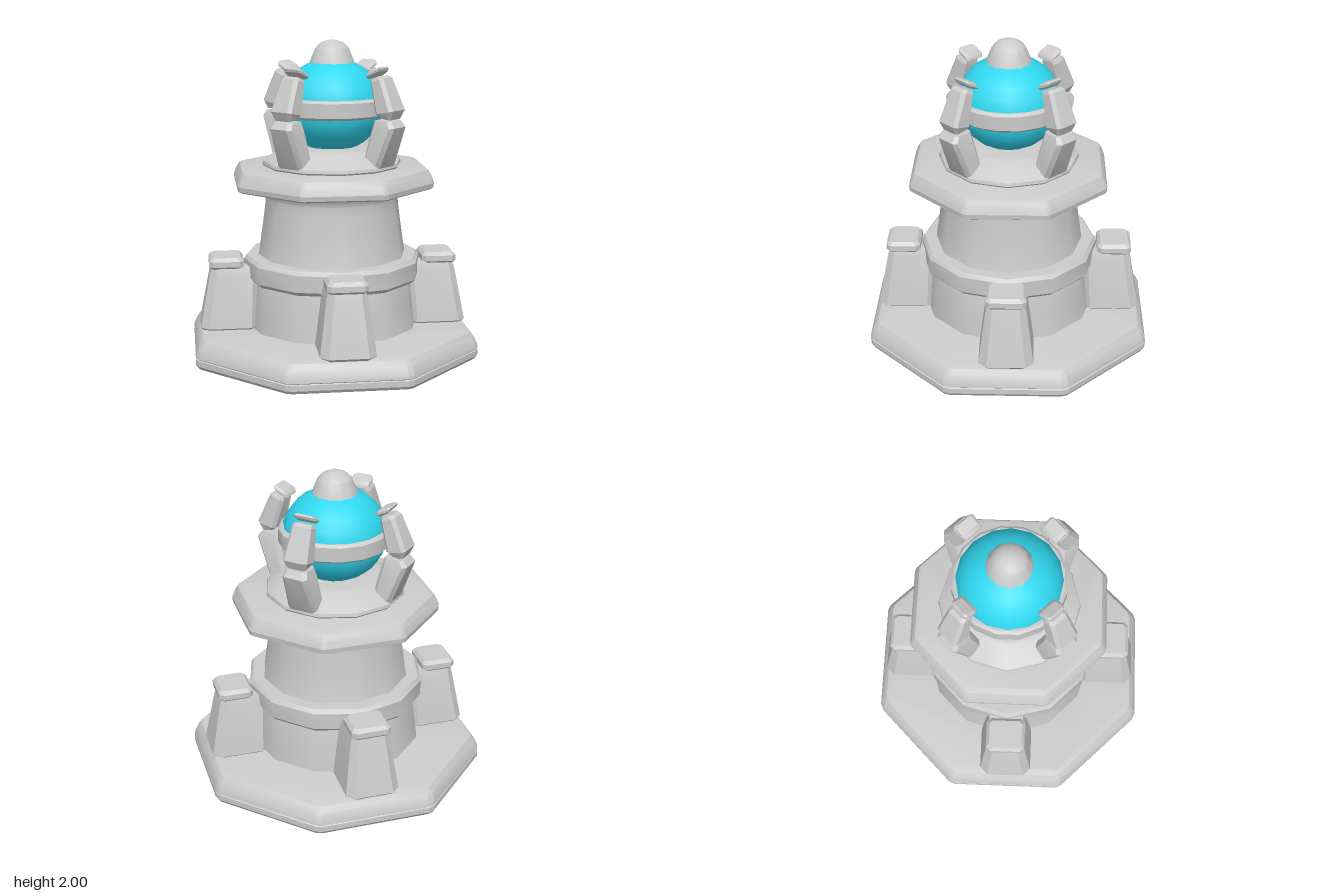
import * as THREE from 'three';
import { toCreasedNormals } from 'three/addons/utils/BufferGeometryUtils.js';

const grey = new THREE.MeshStandardMaterial({ color: 0xcccccc });
const cyan = new THREE.MeshStandardMaterial({ color: 0x2fd8f0 });

function mesh(name, geometry, crease, material = grey) {
  const m = new THREE.Mesh(toCreasedNormals(geometry, crease), material);
  m.name = name;
  return m;
}

// Skin a stack of equal-length rings and close both ends
function loft(rings) {
  const n = rings[0].length, pos = rings.flat().flat(), idx = [];
  for (let i = 0; i < rings.length - 1; i++) {
    for (let j = 0; j < n; j++) {
      const a = i * n + j, b = i * n + (j + 1) % n;
      idx.push(a, b, a + n, b, b + n, a + n);
    }
  }
  const top = (rings.length - 1) * n;
  for (let j = 1; j < n - 1; j++) idx.push(0, j + 1, j, top, top + j, top + j + 1);
  const g = new THREE.BufferGeometry();
  g.setAttribute('position', new THREE.Float32BufferAttribute(pos, 3));
  g.setIndex(idx);
  return g;
}

// Octagonal slab with softened corners; profile holds [apothem, y]
function octagonSlab(name, profile) {
  const half = THREE.MathUtils.degToRad(21.3);
  return mesh(name, loft(profile.map(([a, y]) => {
    const ring = [];
    for (let k = 0; k < 8; k++) {
      for (const s of [-1, 1]) {
        const phi = k * Math.PI / 4 + s * half, r = a / Math.cos(half);
        ring.push([Math.sin(phi) * r, y, Math.cos(phi) * r]);
      }
    }
    return ring;
  })), 0.35);
}

// Bevelled block; sections hold [x, y, tilt, halfDepth, halfWidth, chamfer]
function block(name, sections) {
  return mesh(name, loft(sections.map(([x, y, t, d, w, c]) => [
    [d - c, w], [d, w - c], [d, c - w], [d - c, -w],
    [c - d, -w], [-d, c - w], [-d, w - c], [c - d, w],
  ].map(([u, z]) => [x + u * Math.cos(t), y + u * Math.sin(t), z]))), 0.35);
}

// Turned part; profile holds [radius, y] from bottom to top
function turned(name, profile, sides = 12) {
  const pts = profile.map(([r, y]) => new THREE.Vector2(r, y));
  return mesh(name, new THREE.LatheGeometry(pts, sides, Math.PI / sides), 0.56);
}

function buttress() {
  const g = new THREE.Group();
  g.add(block('buttressBody', [
    [0.67, 0.165, 0, 0.16, 0.145, 0.04],
    [0.67, 0.19, 0, 0.185, 0.17, 0.05],
    [0.635, 0.53, 0, 0.155, 0.125, 0.04],
    [0.635, 0.58, 0, 0.14, 0.11, 0.03],
  ]));
  g.add(block('buttressCap', [
    [0.685, 0.565, 0, 0.095, 0.11, 0.02],
    [0.685, 0.58, 0, 0.11, 0.125, 0.025],
    [0.685, 0.615, 0, 0.11, 0.125, 0.025],
    [0.685, 0.637, 0, 0.09, 0.105, 0.02],
  ]));
  return g;
}

function claw() {
  const g = new THREE.Group();
  g.add(block('clawLower', [
    [0.355, 1.2, 0.15, 0.055, 0.09, 0.02],
    [0.365, 1.235, 0.15, 0.07, 0.1, 0.025],
    [0.442, 1.48, 0.1, 0.084, 0.085, 0.025],
    [0.434, 1.527, 0, 0.062, 0.07, 0.02],
  ]));
  g.add(block('clawUpper', [
    [0.452, 1.542, -0.15, 0.04, 0.065, 0.015],
    [0.453, 1.58, 0.2, 0.065, 0.082, 0.02],
    [0.384, 1.77, 0.35, 0.05, 0.066, 0.02],
    [0.372, 1.788, 0.35, 0.036, 0.055, 0.015],
  ]));
  g.add(block('clawTip', [
    [0.345, 1.789, 0.42, 0.03, 0.05, 0.01],
    [0.35, 1.805, 0.42, 0.05, 0.068, 0.015],
    [0.355, 1.822, 0.42, 0.05, 0.068, 0.015],
    [0.36, 1.838, 0.42, 0.035, 0.052, 0.01],
  ]));
  return g;
}

export function createModel() {
  const model = new THREE.Group();
  model.name = 'orbTower';

  // Stepped base and platform
  model.add(octagonSlab('base', [
    [0.88, 0], [0.893, 0.02], [0.893, 0.055], [0.886, 0.06], [0.893, 0.066],
    [0.89, 0.09], [0.87, 0.135], [0.845, 0.17], [0.81, 0.18],
  ]));
  model.add(octagonSlab('platform', [
    [0.595, 1.08], [0.612, 1.09], [0.616, 1.12], [0.6, 1.165], [0.58, 1.2], [0.55, 1.21],
  ]));

  // Tower shaft and its collar
  model.add(turned('shaft', [
    [0.56, 0.15], [0.535, 0.34], [0.515, 0.5], [0.475, 0.63], [0.45, 0.8],
    [0.43, 0.95], [0.426, 1.01], [0.435, 1.04], [0.465, 1.09],
  ]));
  model.add(turned('collar', [
    [0.45, 0.48], [0.545, 0.48], [0.57, 0.505], [0.57, 0.61], [0.55, 0.635], [0.45, 0.635],
  ]));

  // Orb, its seat, band and finial
  model.add(turned('orbSeat', [
    [0.43, 1.2], [0.445, 1.22], [0.44, 1.24], [0.31, 1.325], [0.285, 1.33], [0, 1.33],
  ]));
  const orb = mesh('orb', new THREE.SphereGeometry(0.33, 16, 14), 0.6, cyan);
  orb.scale.y = 0.9;
  orb.position.y = 1.59;
  model.add(orb);
  model.add(turned('orbBand', [
    [0.29, 1.53], [0.335, 1.53], [0.352, 1.545], [0.352, 1.635], [0.335, 1.65], [0.29, 1.65],
  ], 16));
  model.add(turned('finial', [
    [0.13, 1.83], [0.147, 1.845], [0.138, 1.87], [0.105, 1.95], [0.075, 1.98], [0.035, 1.997], [0, 2],
  ]));

  // Buttresses on the diagonals, claws on the axes
  for (let i = 0; i < 4; i++) {
    const b = buttress();
    b.name = 'buttress' + (i + 1);
    b.rotation.y = Math.PI / 4 + i * Math.PI / 2;
    const c = claw();
    c.name = 'claw' + (i + 1);
    c.rotation.y = i * Math.PI / 2;
    model.add(b, c);
  }
  return model;
}
